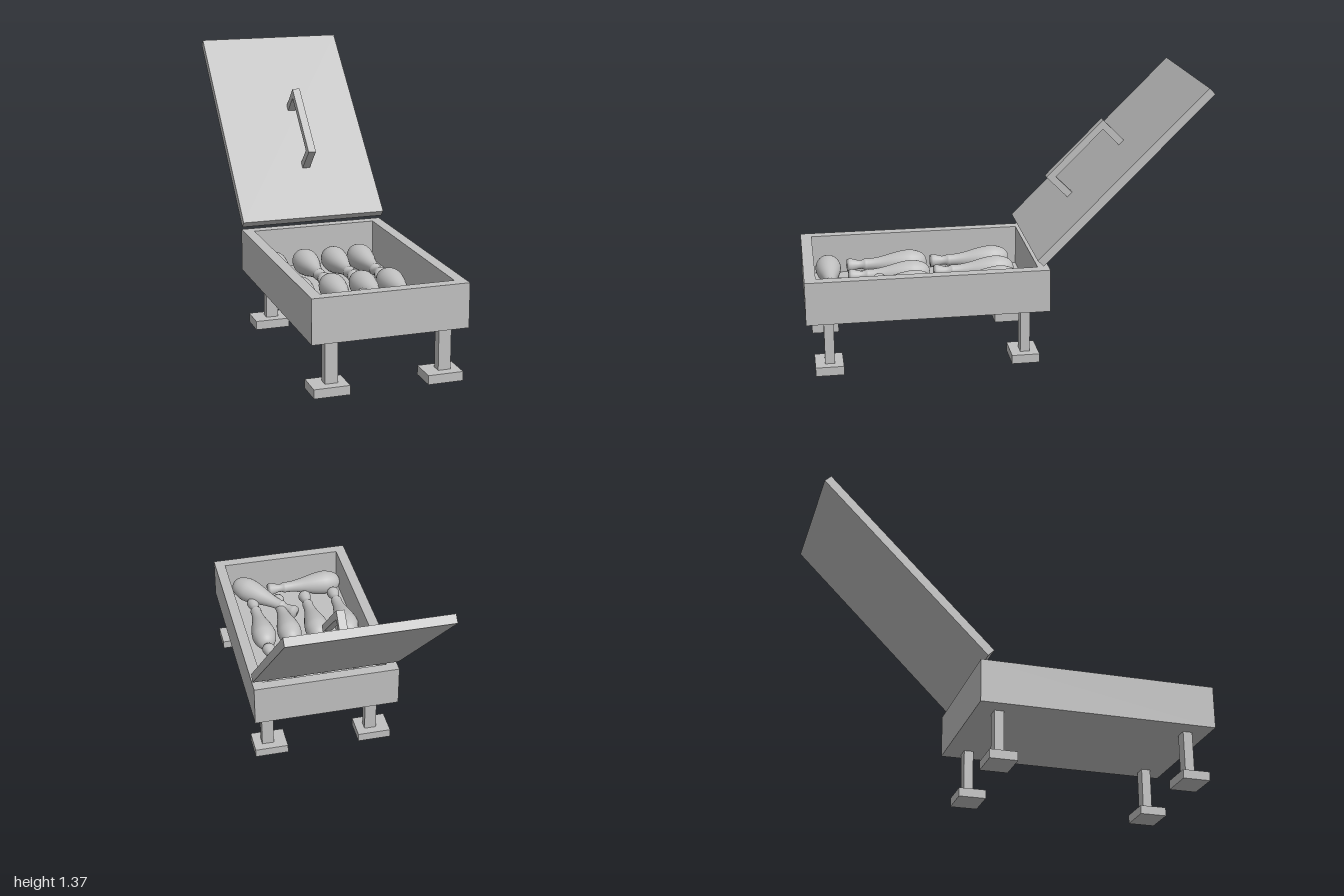
import * as THREE from 'three';

export function createModel() {
  const model = new THREE.Group();
  const grey = new THREE.MeshStandardMaterial({ color: 0xc0c0c0 });
  grey.name = 'light grey';

  const add = (parent, name, geometry, x = 0, y = 0, z = 0) => {
    const mesh = new THREE.Mesh(geometry, grey);
    mesh.name = name;
    mesh.position.set(x, y, z);
    parent.add(mesh);
    return mesh;
  };
  const box = (parent, name, w, h, d, x, y, z) =>
    add(parent, name, new THREE.BoxGeometry(w, h, d), x, y, z);

  // Open tray: rectangular ring of walls plus a floor
  const rect = (Type, x0, x1, z0, z1) => new Type([
    new THREE.Vector2(x0, -z1), new THREE.Vector2(x1, -z1),
    new THREE.Vector2(x1, -z0), new THREE.Vector2(x0, -z0),
  ]);
  const ring = rect(THREE.Shape, -0.379, 0.379, -0.2, 1);
  ring.holes.push(rect(THREE.Path, -0.324, 0.324, -0.145, 0.944));
  const walls = new THREE.ExtrudeGeometry(ring, { depth: 0.217, bevelEnabled: false });
  walls.rotateX(-Math.PI / 2);
  add(model, 'trayWalls', walls, 0, 0.272, 0);
  box(model, 'trayFloor', 0.648, 0.012, 1.089, 0, 0.278, 0.3995);

  // Four legs, each on a flat foot
  for (const [footX, legX] of [[-0.27, -0.258], [0.286, 0.298]]) {
    for (const [footZ, legZ] of [[0.893, 0.89], [-0.08, -0.083]]) {
      box(model, 'foot', 0.174, 0.045, 0.139, footX, 0.0225, footZ);
      box(model, 'leg', 0.062, 0.227, 0.048, legX, 0.1585, legZ);
    }
  }

  // Raised lid with its handle, tilted 45 degrees
  const lid = new THREE.Group();
  lid.name = 'lid';
  lid.position.set(-0.002, 0.942, -0.566);
  lid.rotation.x = Math.PI / 4;
  model.add(lid);
  box(lid, 'lidPanel', 0.764, 0.043, 1.177, 0, 0, 0);
  box(lid, 'handleGrip', 0.04, 0.035, 0.407, 0.022, 0.158, 0.082);
  for (const z of [-0.104, 0.268]) {
    box(lid, 'handlePost', 0.04, 0.12, 0.035, 0.022, 0.081, z);
  }

  // Round-bottomed bottle with a slim neck, collar and flared tip
  const body = new THREE.SplineCurve([
    [0, 0], [0.026, 0.006], [0.05, 0.03], [0.065, 0.078], [0.064, 0.12],
    [0.055, 0.17], [0.04, 0.23], [0.031, 0.28], [0.029, 0.318],
  ].map(([r, h]) => new THREE.Vector2(r, h))).getPoints(28);
  const tip = [[0.031, 0.322], [0.029, 0.33], [0.023, 0.342], [0.023, 0.36],
    [0.033, 0.395], [0.035, 0.408], [0.03, 0.421], [0, 0.425]]
    .map(([r, h]) => new THREE.Vector2(r, h));
  body[0].x = 0;
  const bottleGeometry = new THREE.LatheGeometry([...body, ...tip], 24);

  const up = new THREE.Vector3(0, 1, 0);
  const bottle = (base, direction) => {
    const mesh = add(model, 'bottle', bottleGeometry, ...base);
    mesh.quaternion.setFromUnitVectors(up, new THREE.Vector3(...direction).normalize());
  };

  // Two rows of four, one laid crosswise and one resting on top
  for (const z of [-0.095, 0.345]) {
    for (const x of [-0.259, -0.093, 0.062, 0.204]) bottle([x, 0.343, z], [0, 0, 1]);
  }
  bottle([-0.324, 0.343, 0.865], [1, 0, 0]);
  bottle([0.283, 0.39, 0.9], [-0.3, -0.045, -0.303]);

  return model;
}
